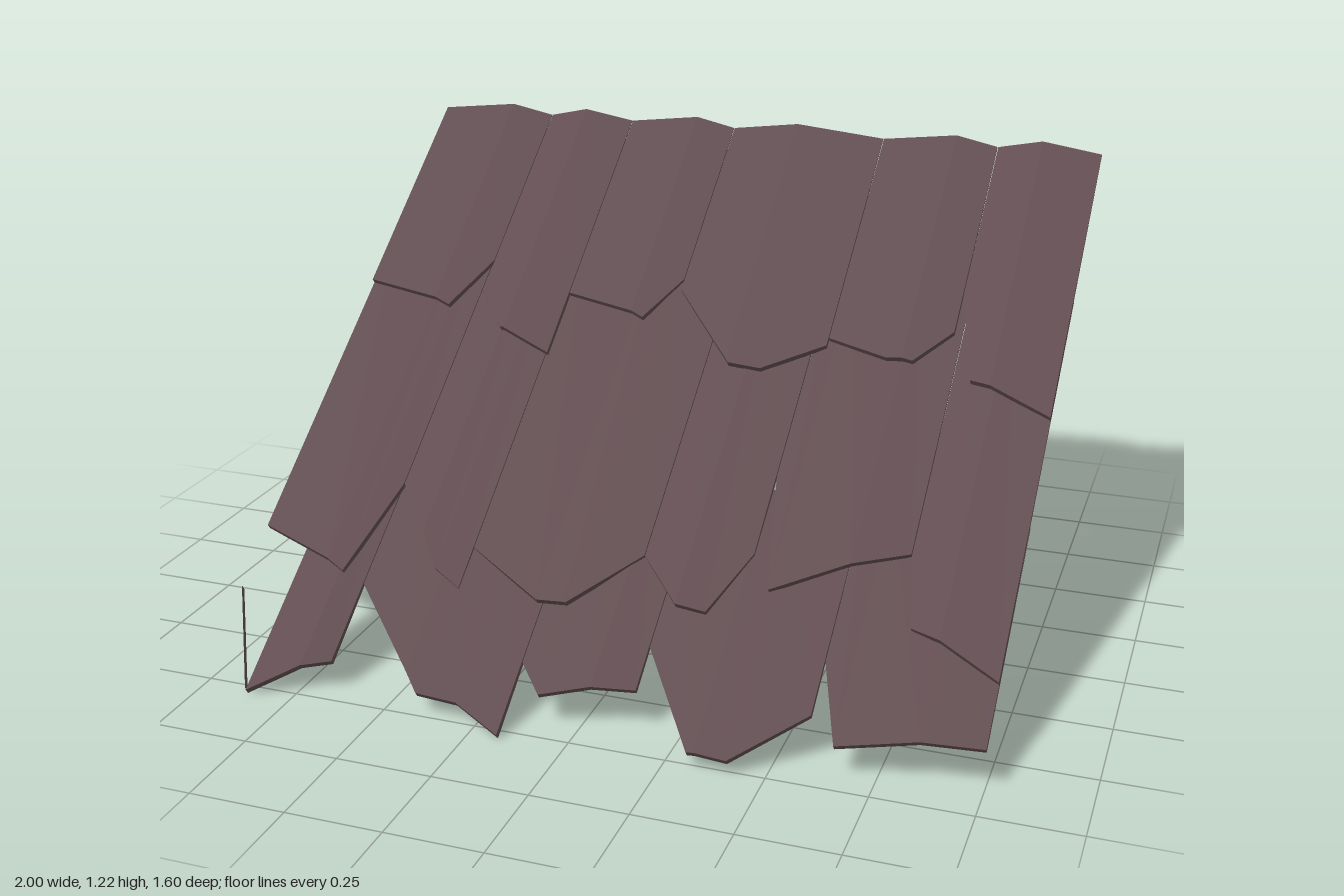
import * as THREE from 'three';

const THICK = 0.018;
const SLOPE = 0.75;

// Shingles of a row: [left x, left z, tip x, tip z, right z, optional flat tip width].
// Each one reaches to the left x of the next.
const UPPER = [
  [-1, -0.25, -0.73, -0.19, -0.34],
  [-0.65, -0.25, -0.55, -0.14, -0.1],
  [-0.39, -0.27, -0.15, -0.21, -0.34],
  [-0.07, -0.31, 0.13, -0.11, -0.2, 0.09],
  [0.38, -0.22, 0.55, -0.17, -0.27, 0.07],
  [0.71, -0.37, 0.78, -0.14, -0.08],
];
const MIDDLE = [
  [-1, 0.42, -0.73, 0.51, 0.27],
  [-0.66, 0.27, -0.48, 0.47, 0.5],
  [-0.4, 0.4, -0.18, 0.51, 0.36, 0.08],
  [0.06, 0.36, 0.18, 0.475, 0.32, 0.08],
  [0.34, 0.13, 0.4, 0.4, 0.27],
  [0.73, 0.27, 0.77, 0.44, 0.52],
];
const LOWER = [
  [-0.87, 0.797, -0.77, 0.75, 0.7],
  [-0.67, 0.51, -0.41, 0.75, 0.797, 0.11],
  [-0.17, 0.63, -0.1, 0.7, 0.65],
  [0.14, 0.55, 0.31, 0.775, 0.64, 0.1],
  [0.58, 0.52, 0.65, 0.7, 0.65],
];

// Piecewise-linear lookup along a lower edge
function edgeZ(edge, x) {
  const i = Math.max(1, edge.findIndex(p => x <= p[0]));
  const [xa, za] = edge[i - 1], [xb, zb] = edge[i];
  return THREE.MathUtils.mapLinear(x, xa, xb, za, zb);
}

function geometryFromQuads(quads) {
  const pos = quads.flatMap(([a, b, c, d]) => [a, b, c, a, c, d].flat());
  const geo = new THREE.BufferGeometry();
  geo.setAttribute('position', new THREE.Float32BufferAttribute(pos, 3));
  geo.computeVertexNormals();
  return geo;
}

// Thin slab, folded along its crest and thickening toward the lower edge
function shingleGeometry(row, edge, crestFraction) {
  const xa = edge[0][0], xb = edge[edge.length - 1][0];
  const crest = THREE.MathUtils.lerp(xa, xb, crestFraction);
  const xs = [...edge.map(p => p[0]), crest].sort((a, b) => a - b);
  const sections = xs.map(x => {
    const fold = x <= crest ? (x - xa) / (crest - xa) : (xb - x) / (xb - crest);
    // hairline gap at inner seams
    const px = x === xa && x > -1 ? x + 0.001 : x === xb && x < 1 ? x - 0.001 : x;
    const pair = z => {
      const t = (z - row.z0) / (row.z1 - row.z0);
      const mix = ([a, b]) => a + (b - a) * t;
      const y = mix(row.base) - SLOPE * z + mix(row.crown) * fold;
      const th = mix([0.004, THICK]);
      const back = z === row.z0 ? 0 : 0.6 * th;
      return [[px, y, z], [px, y - 0.8 * th, z - back]];
    };
    const [ut, ub] = pair(row.z0), [lt, lb] = pair(edgeZ(edge, x));
    return { ut, ub, lt, lb };
  });
  const quads = [];
  for (let i = 1; i < sections.length; i++) {
    const a = sections[i - 1], b = sections[i];
    quads.push([a.ut, a.lt, b.lt, b.ut], [a.ub, b.ub, b.lb, a.lb],
      [a.lt, a.lb, b.lb, b.lt], [b.ut, b.ub, a.ub, a.ut]);
  }
  const f = sections[0], l = sections[sections.length - 1];
  quads.push([f.ut, f.ub, f.lb, f.lt], [l.lt, l.lb, l.ub, l.ut]);
  return geometryFromQuads(quads);
}

function shingleRow(row, material) {
  const group = new THREE.Group();
  group.name = row.name + 'ShingleRow';
  row.shingles.forEach(([x, zLeft, tipX, zTip, zRight, flat = 0], i) => {
    const next = row.shingles[i + 1];
    const edge = [[x, zLeft], [tipX, zTip], [next ? next[0] : 1, zRight]];
    if (flat) edge.splice(2, 0, [tipX + flat, zTip]);
    // crests alternate to either side of the middle
    const mesh = new THREE.Mesh(shingleGeometry(row, edge, i % 2 ? 0.43 : 0.64), material);
    mesh.name = row.name + 'Shingle' + (i + 1);
    group.add(mesh);
  });
  return group;
}

export function createModel() {
  const model = new THREE.Group();
  model.name = 'shingleRoofPanel';
  const wood = new THREE.MeshStandardMaterial({ color: 0x624e52, flatShading: true, side: THREE.DoubleSide });
  wood.name = 'dark brown wood';

  // Rows overlap: z0 is the upper end, z1 the lower; base and crown run between them
  model.add(
    shingleRow({ name: 'upper', z0: -0.8, z1: -0.1, base: [0.6, 0.615], crown: [0.025, 0.02], shingles: UPPER }, wood),
    shingleRow({ name: 'middle', z0: -0.4, z1: 0.5, base: [0.588, 0.615], crown: [0.012, 0.02], shingles: MIDDLE }, wood),
    shingleRow({ name: 'lower', z0: 0.15, z1: 0.79, base: [0.578, 0.612], crown: [0.012, 0.02], shingles: LOWER }, wood),
  );

  // Loose splinter at the lower corner
  const splinter = new THREE.Mesh(geometryFromQuads([
    [[-1, 0.185, 0.57], [-1, 0.17, 0.56], [-0.87, 0.005, 0.786], [-0.87, 0.02, 0.797]],
  ]), wood);
  splinter.name = 'edgeSplinter';
  model.add(splinter);
  return model;
}
